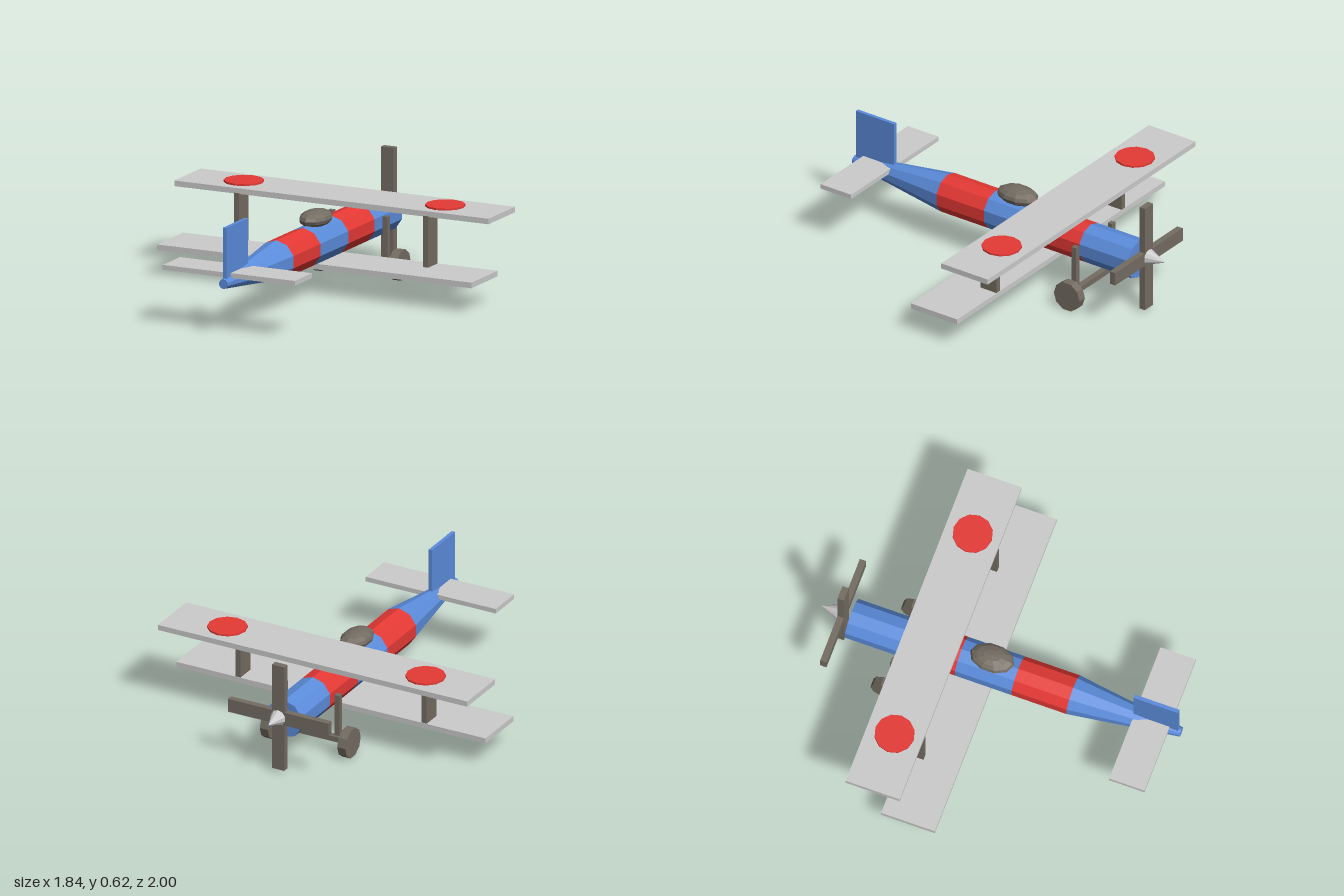
import * as THREE from 'three';

const mat = (color) => new THREE.MeshStandardMaterial({ color, flatShading: true });

export function createModel() {
  const model = new THREE.Group();
  const grey = mat(0xcccccc), blue = mat(0x5b8cdb), red = mat(0xe53935), brown = mat(0x736c62);

  const add = (name, geometry, material, x, y, z) => {
    const mesh = new THREE.Mesh(geometry, material);
    mesh.name = name;
    mesh.position.set(x, y, z);
    model.add(mesh);
    return mesh;
  };
  // Box given by its min and max on each axis
  const box = (name, material, [x0, x1], [y0, y1], [z0, z1]) =>
    add(name, new THREE.BoxGeometry(x1 - x0, y1 - y0, z1 - z0), material,
      (x0 + x1) / 2, (y0 + y1) / 2, (z0 + z1) / 2);

  // Fuselage: ten-sided sections along z, from nose to tail tip
  const R = 0.107;
  const sections = [
    ['noseSection', -0.83, -0.52, R, blue],
    ['frontBand', -0.52, -0.22, R, red],
    ['cockpitSection', -0.22, 0.095, R, blue],
    ['rearBand', 0.095, 0.4, R, red],
    ['tailCone', 0.4, 1.0, 0.026, blue],
  ];
  for (const [name, z0, z1, rEnd, material] of sections) {
    const g = new THREE.CylinderGeometry(rEnd, R, z1 - z0, 10).rotateX(Math.PI / 2);
    add(name, g, material, 0, 0.281, (z0 + z1) / 2);
  }

  // Cockpit dome
  add('cockpitDome', new THREE.SphereGeometry(1, 10, 8).rotateY(Math.PI / 2).scale(0.08, 0.046, 0.122),
    brown, 0, 0.412, -0.05);

  // Wings
  box('upperWing', grey, [-0.922, 0.922], [0.441, 0.471], [-0.525, -0.225]);
  box('lowerWing', grey, [-0.922, 0.922], [0.14, 0.17], [-0.328, -0.03]);

  // Tail surfaces
  box('tailplane', grey, [-0.388, 0.388], [0.302, 0.328], [0.742, 0.938]);
  box('tailFin', blue, [-0.01, 0.01], [0.285, 0.58], [0.738, 0.985]);

  // Propeller and spinner
  box('verticalBlade', brown, [-0.037, 0.037], [0.014, 0.616], [-0.895, -0.86]);
  box('horizontalBlade', brown, [-0.3, 0.3], [0.278, 0.352], [-0.895, -0.86]);
  add('spinner', new THREE.ConeGeometry(0.05, 0.12, 10).rotateX(-Math.PI / 2), grey, 0, 0.315, -0.94);

  // Axle
  box('axle', brown, [-0.21, 0.21], [0.07, 0.1], [-0.568, -0.535]);

  // Mirrored parts: struts, wing discs, undercarriage legs and wheels
  for (const s of [1, -1]) {
    const side = s > 0 ? 'left' : 'right';
    const span = (a, b) => (s > 0 ? [a, b] : [-b, -a]);
    box(side + 'WingStrut', brown, span(0.54, 0.57), [0.165, 0.445], [-0.326, -0.222]);
    add(side + 'WingDisc', new THREE.CylinderGeometry(0.106, 0.106, 0.02, 12), red, s * 0.591, 0.471, -0.375);
    box(side + 'GearLeg', brown, span(0.146, 0.176), [0.085, 0.333], [-0.552, -0.524]);
    add(side + 'Wheel', new THREE.CylinderGeometry(0.083, 0.083, 0.048, 10).rotateZ(Math.PI / 2),
      brown, s * 0.231, 0.079, -0.55);
  }
  return model;
}
